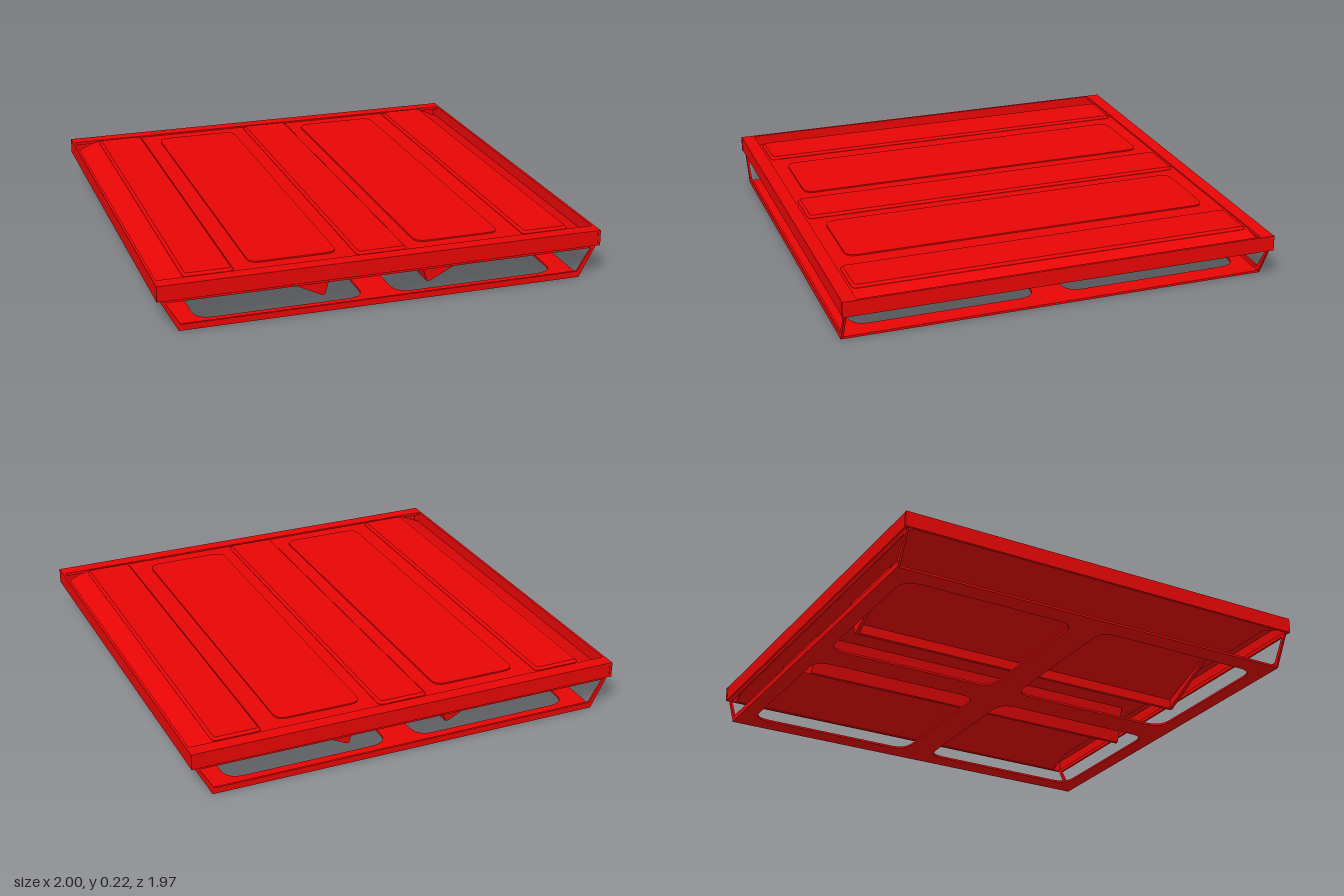
import * as THREE from 'three';

const material = new THREE.MeshStandardMaterial({ color: 0xe80606, side: THREE.DoubleSide });

function polygon(points) {
  return new THREE.Shape(points.map(([x, y]) => new THREE.Vector2(x, y)));
}

function roundedRect(Kind, x0, y0, x1, y1, r) {
  const s = new Kind();
  s.moveTo(x0 + r, y0);
  s.lineTo(x1 - r, y0).quadraticCurveTo(x1, y0, x1, y0 + r);
  s.lineTo(x1, y1 - r).quadraticCurveTo(x1, y1, x1 - r, y1);
  s.lineTo(x0 + r, y1).quadraticCurveTo(x0, y1, x0, y1 - r);
  s.lineTo(x0, y0 + r).quadraticCurveTo(x0, y0, x0 + r, y0);
  return s;
}

// extrude a front-plane profile along z, centred on z
function alongZ(shape, length, z = 0) {
  const g = new THREE.ExtrudeGeometry(shape, { depth: length, bevelEnabled: false });
  return g.translate(0, 0, z - length / 2);
}

// extrude a plan shape from y0 up to y1, with an optional bevel on its edges
function upwards(shape, y0, y1, bevel = 0) {
  const g = new THREE.ExtrudeGeometry(shape, {
    depth: y1 - y0 - 2 * bevel, curveSegments: 5, bevelEnabled: bevel > 0,
    bevelSize: bevel, bevelThickness: bevel, bevelOffset: -bevel, bevelSegments: 1,
  });
  return g.rotateX(-Math.PI / 2).translate(0, y0 + bevel, 0);
}

export function createModel() {
  const pallet = new THREE.Group();
  pallet.name = 'pallet';
  const add = (name, geometry) => {
    const mesh = new THREE.Mesh(geometry, material);
    mesh.name = name;
    pallet.add(mesh);
  };
  const box = (name, w, h, d, x, y, z) =>
    add(name, new THREE.BoxGeometry(w, h, d).translate(x, y, z));

  // deck sheet with side edges sloping down to the rim
  add('deck', alongZ(polygon([
    [-0.99, 0.16], [-0.88, 0.208], [0.88, 0.208], [0.99, 0.16],
    [0.99, 0.148], [0.88, 0.195], [-0.88, 0.195], [-0.99, 0.148],
  ]), 1.86));

  // rim skirts and end flanges
  for (const s of [-1, 1]) {
    box('sideRim', 0.012, 0.07, 1.97, s * 0.994, 0.18, 0);
    box('endRim', 2, 0.07, 0.012, 0, 0.18, s * 0.977);
    box('endFlange', 1.99, 0.014, 0.06, 0, 0.208, s * 0.95);
  }

  // raised strips on the deck, with bevelled edges
  for (const [x0, x1] of [[-0.87, -0.65], [-0.11, 0.12], [0.66, 0.88]]) {
    add('raisedStrip', upwards(roundedRect(THREE.Shape, x0, -0.907, x1, 0.907, 0.025), 0.196, 0.221, 0.011));
  }

  for (const s of [-1, 1]) {
    // thin plate over each runner
    const plate = roundedRect(THREE.Shape, Math.min(s * 0.18, s * 0.57), -0.85, Math.max(s * 0.18, s * 0.57), 0.85, 0.05);
    add('deckPlate', upwards(plate, 0.2, 0.214));

    // runner below the deck: upright foot, then a slope out to the deck
    add('runner', alongZ(polygon([
      [s * 0.185, 0.2], [s * 0.234, 0.02], [s * 0.25, 0.02], [s * 0.255, 0.064], [s * 0.6, 0.197],
    ]), 1.67));

    // wedge-shaped cheeks closing the runner's ends
    for (const e of [-1, 1]) {
      add('runnerCheek', alongZ(polygon([
        [s * 0.185, 0.2], [s * 0.234, 0.02], [s * 0.25, 0.02], [s * 0.6, 0.195],
      ]), 0.016, e * 0.842));
    }

    // upright end frame with one wide opening
    const frame = polygon([[-0.99, 0.15], [-0.91, 0.002], [0.91, 0.002], [0.99, 0.15]]);
    frame.holes.push(polygon([[-0.963, 0.132], [0.963, 0.132], [0.9, 0.028], [-0.9, 0.028]]));
    add('endFrame', alongZ(frame, 0.01, s * 0.968));
  }

  // flat base frame with four rounded windows
  const base = polygon([[-0.91, -0.973], [0.91, -0.973], [0.91, 0.973], [-0.91, 0.973]]);
  for (const x of [-0.82, 0.07]) {
    for (const z of [-0.9, 0.07]) {
      base.holes.push(roundedRect(THREE.Path, x, z, x + 0.75, z + 0.83, 0.08));
    }
  }
  add('baseFrame', upwards(base, 0, 0.01));

  return pallet;
}
